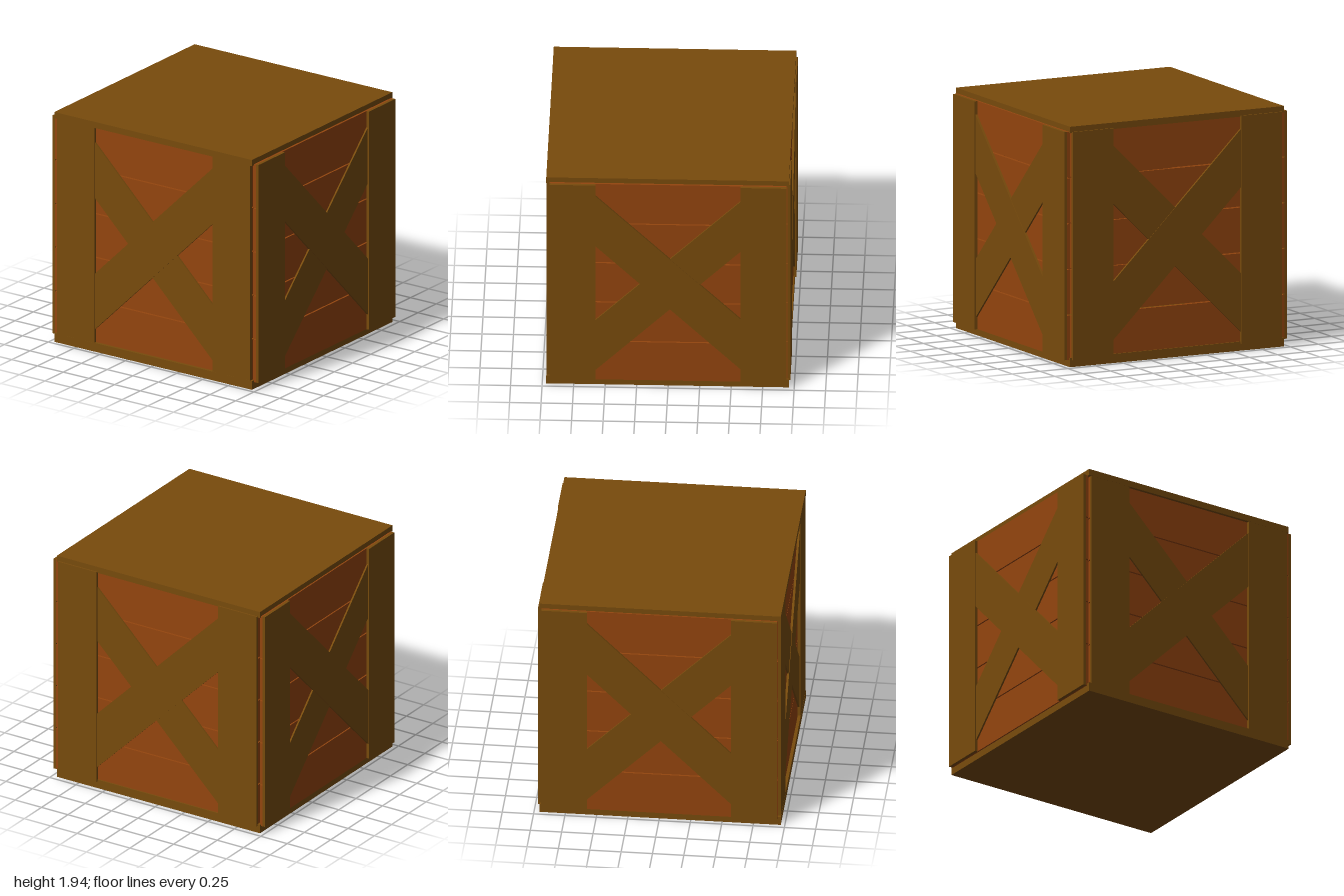
import * as THREE from 'three';

const frameWood = new THREE.MeshStandardMaterial({ color: 0x784b0c });
frameWood.name = 'frame wood';
const plankWood = new THREE.MeshStandardMaterial({ color: 0x94450e });
plankWood.name = 'plank wood';

// Box given by its low and high corner
function box(name, material, [x0, y0, z0], [x1, y1, z1]) {
  const mesh = new THREE.Mesh(new THREE.BoxGeometry(x1 - x0, y1 - y0, z1 - z0), material);
  mesh.position.set((x0 + x1) / 2, (y0 + y1) / 2, (z0 + z1) / 2);
  mesh.name = name;
  return mesh;
}

// Diagonal board cut off vertically where it meets the posts
function brace(name, leftY, rightY, z0, z1) {
  const half = 0.235, end = 0.58;
  const shape = new THREE.Shape([
    new THREE.Vector2(-end, leftY - half), new THREE.Vector2(end, rightY - half),
    new THREE.Vector2(end, rightY + half), new THREE.Vector2(-end, leftY + half),
  ]);
  const mesh = new THREE.Mesh(
    new THREE.ExtrudeGeometry(shape, { depth: z1 - z0, bevelEnabled: false }), frameWood);
  mesh.position.z = z0;
  mesh.name = name;
  return mesh;
}

// One crate wall facing +z, its outermost surface at distance d
function wall(name, d, flip) {
  const group = new THREE.Group();
  group.name = name;
  const low = 0.057, high = 1.897, face = d - 0.024;

  // Five planks with narrow open gaps
  for (let i = 0; i < 5; i++) {
    const y0 = i === 0 ? low : 0.055 + i * 0.369;
    const y1 = i === 4 ? high : 0.045 + (i + 1) * 0.369;
    group.add(box('plank', plankWood, [-0.94, y0, face - 0.025], [0.94, y1, face]));
  }

  // Upright boards at both ends
  for (const s of [-1, 1]) {
    const xs = [s * 0.575, s * 0.94].sort((a, b) => a - b);
    group.add(box('post', frameWood, [xs[0], low, face], [xs[1], high, d]));
  }

  // Crossed diagonal braces, one slightly proud of the other
  const ends = flip ? [1.56, 0.415] : [0.415, 1.56];
  group.add(brace('outerBrace', ends[0], ends[1], face, d - 0.006));
  group.add(brace('innerBrace', ends[1] - 0.03, ends[0] - 0.03, face, d - 0.01));
  return group;
}

export function createModel() {
  const crate = new THREE.Group();
  crate.name = 'crate';

  // Lid and base
  crate.add(box('lid', frameWood, [-0.964, 1.888, -0.957], [0.958, 1.94, 0.968]));
  crate.add(box('base', frameWood, [-0.964, 0, -0.957], [0.958, 0.073, 0.968]));

  // Four walls
  const walls = [
    ['frontWall', 0.967, 0, false],
    ['leftWall', 1, 1, true],
    ['backWall', 0.969, 2, false],
    ['rightWall', 1, 3, true],
  ];
  for (const [name, d, turn, flip] of walls) {
    const w = wall(name, d, flip);
    w.rotation.y = turn * Math.PI / 2;
    crate.add(w);
  }
  return crate;
}
